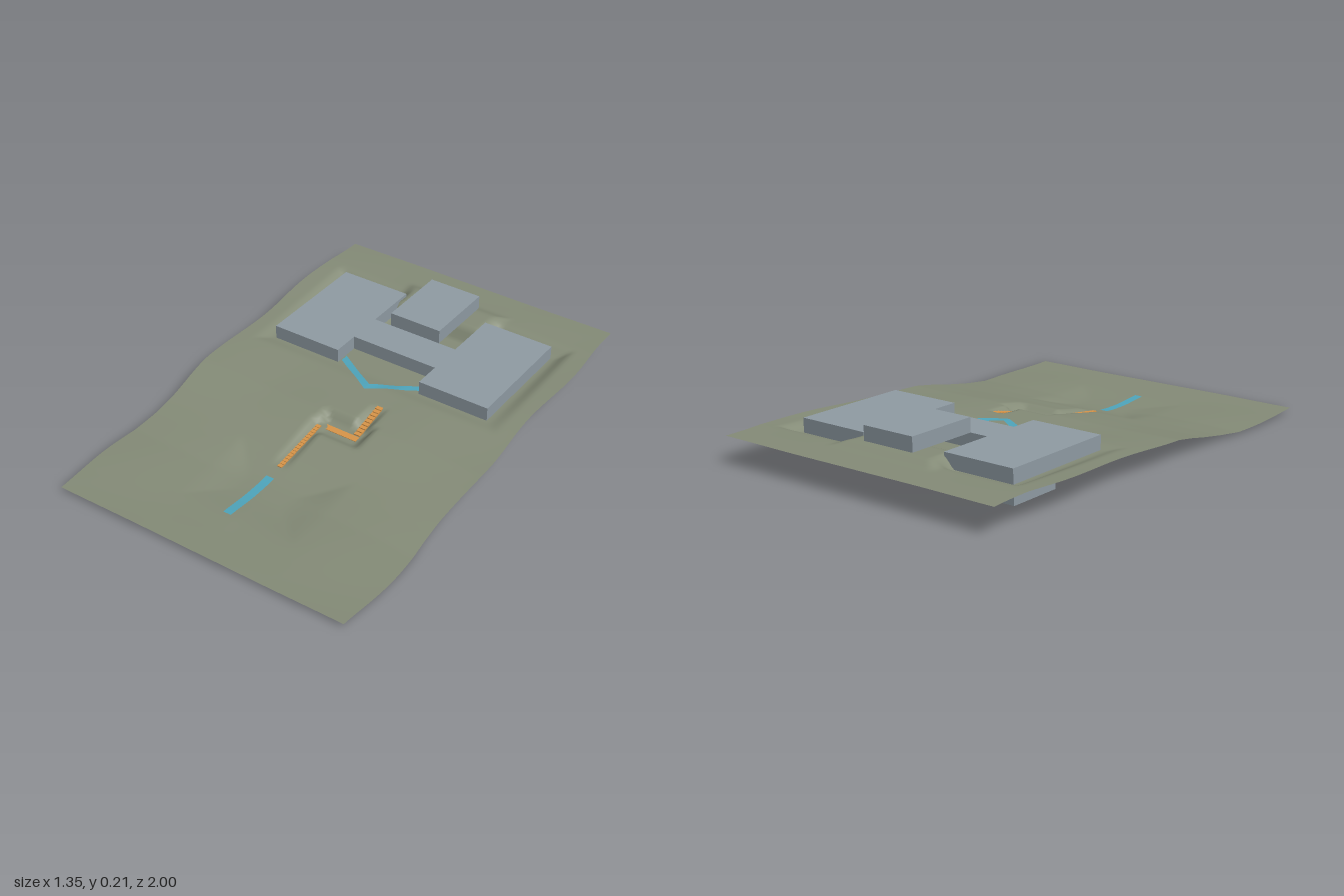
import * as THREE from 'three';

const mat = (name, color, side = THREE.FrontSide) => {
  const m = new THREE.MeshStandardMaterial({ color, side });
  m.name = name;
  return m;
};

// Main slope of the ground from back to front: [z, height]
const slope = [[-1, 0.12], [-0.82, 0.125], [-0.5, 0.115], [-0.2, 0.102], [0, 0.092], [0.1, 0.088],
  [0.2, 0.072], [0.3, 0.052], [0.43, 0.03], [0.56, 0.014], [0.85, 0.016], [1, 0.02]];

function baseHeight(z) {
  let i = 0;
  while (i < slope.length - 2 && z > slope[i + 1][0]) i++;
  const [z0, y0] = slope[i], [z1, y1] = slope[i + 1];
  return THREE.MathUtils.lerp(y0, y1, (z - z0) / (z1 - z0));
}

// 1 inside a rectangle, fading to 0 over the given margin
function mask(x, z, x0, x1, z0, z1, margin) {
  const dx = Math.max(x0 - x, 0, x - x1), dz = Math.max(z0 - z, 0, z - z1);
  return 1 - THREE.MathUtils.smoothstep(Math.max(dx, dz), 0, margin);
}

const stairTop = z => THREE.MathUtils.lerp(0.058, 0.022, (z - 0.16) / 0.27);

function height(x, z) {
  const mix = THREE.MathUtils.lerp;
  let h = baseHeight(z) + 0.004 * Math.sin(x * 7 + z * 3) * Math.cos(z * 5) * Math.min(1, Math.abs(x) * 3);
  // low hollow at the foot of the hill
  h = mix(h, 0.001, 0.8 * mask(x, z, -0.1, 0.1, 0.54, 0.6, 0.18));
  // levelled ground below the building
  h = mix(h, 0.091, mask(x, z, -0.53, 0.53, -0.73, -0.2, 0.07));
  // mound and pit behind the link block
  h = mix(h, 0.145, mask(x, z, -0.19, 0.19, -0.79, -0.68, 0.07));
  h = mix(h, 0.078, mask(x, z, -0.19, 0.19, -0.62, -0.49, 0.04));
  // cuttings for the landing and the two stairs
  h = mix(h, 0.05, mask(x, z, -0.02, 0.14, 0.12, 0.18, 0.05));
  h = mix(h, mix(0.088, 0.052, THREE.MathUtils.clamp((z + 0.04) / 0.16, 0, 1)),
    mask(x, z, 0.105, 0.135, -0.02, 0.12, 0.025));
  h = mix(h, stairTop(z) - 0.002, mask(x, z, -0.05, -0.03, 0.16, 0.41, 0.03));
  return h;
}

function terrain() {
  const g = new THREE.PlaneGeometry(2, 2, 96, 144).rotateX(-Math.PI / 2);
  const p = g.attributes.position;
  for (let i = 0; i < p.count; i++) {
    const z = p.getZ(i);
    const x = p.getX(i) * (0.667 + 0.009 * Math.cos((z + 0.62) * 2 * Math.PI / 0.67));
    p.setXYZ(i, x, height(x, z), z);
  }
  g.computeVertexNormals();
  return g;
}

// Flat strip laid on the ground along points [x, z], widened by (ox, oz) to each side
function ribbon(points, ox, oz) {
  const pos = [], index = [], n = 24;
  points.slice(1).forEach(([bx, bz], s) => {
    const [ax, az] = points[s];
    for (let i = 0; i <= n; i++) {
      const x = ax + (bx - ax) * i / n, z = az + (bz - az) * i / n;
      for (const k of [-1, 1]) pos.push(x + k * ox, height(x + k * ox, z + k * oz) + 0.004, z + k * oz);
      const a = pos.length / 3 - 2;
      if (i < n) index.push(a, a + 1, a + 2, a + 1, a + 3, a + 2);
    }
  });
  const g = new THREE.BufferGeometry();
  g.setAttribute('position', new THREE.Float32BufferAttribute(pos, 3));
  g.setIndex(index);
  g.computeVertexNormals();
  // turn the faces upward when the strip runs the other way round
  if (g.attributes.normal.getY(0) < 0) {
    g.setIndex(index.reverse());
    g.computeVertexNormals();
  }
  return g;
}

// Solid stair descending toward +z
function stair(x, width, z0, z1, top, foot, bottom, steps) {
  const s = new THREE.Shape();
  s.moveTo(z0, bottom);
  for (let i = 0; i < steps; i++) {
    const y = top + (foot - top) * i / (steps - 1);
    s.lineTo(z0 + (z1 - z0) * i / steps, y);
    s.lineTo(z0 + (z1 - z0) * (i + 1) / steps, y);
  }
  s.lineTo(z1, bottom);
  return new THREE.ExtrudeGeometry(s, { depth: width, bevelEnabled: false })
    .rotateY(-Math.PI / 2).translate(x + width / 2, 0, 0);
}

export function createModel() {
  const group = new THREE.Group();
  const ground = mat('ground green', 0x858c78, THREE.DoubleSide);
  const wall = mat('building grey', 0x909ca4);
  const water = mat('path blue', 0x4fa6bd, THREE.DoubleSide);
  const wood = mat('stair orange', 0xd9964a);

  const add = (name, geometry, material) => {
    const m = new THREE.Mesh(geometry, material);
    m.name = name;
    group.add(m);
  };
  const block = (name, x0, x1, y0, y1, z0, z1, material = wall) => add(name,
    new THREE.BoxGeometry(x1 - x0, y1 - y0, z1 - z0)
      .translate((x0 + x1) / 2, (y0 + y1) / 2, (z0 + z1) / 2), material);

  add('terrain', terrain(), ground);

  // Building: sunken storey, main storey in three blocks, upper storey
  block('lowerStorey', -0.52, 0.52, 0.015, 0.075, -0.72, -0.48);
  block('lowerFrontRoom', -0.2, 0.2, 0.015, 0.075, -0.48, -0.32);
  block('leftWing', 0.2, 0.52, 0.095, 0.155, -0.725, -0.2);
  block('rightWing', -0.52, -0.2, 0.095, 0.155, -0.725, -0.2);
  block('linkBlock', -0.2, 0.2, 0.095, 0.155, -0.48, -0.32);
  block('upperStorey', -0.12, 0.12, 0.155, 0.216, -0.805, -0.48);

  // Stairs and landing
  add('upperStair', stair(0.12, 0.028, -0.04, 0.13, 0.094, 0.06, 0.055, 9), wood);
  add('lowerStair', stair(-0.04, 0.02, 0.16, 0.43, 0.06, 0.025, 0.015, 16), wood);
  block('landing', -0.05, 0.134, 0.046, 0.052, 0.13, 0.16, wood);

  // Paths
  add('courtyardPath', ribbon([[-0.195, -0.24], [0, -0.117], [0.195, -0.24]], 0, 0.018), water);
  add('lowerPath', ribbon([[-0.04, 0.49], [-0.04, 0.76]], 0.018, 0), water);
  return group;
}
